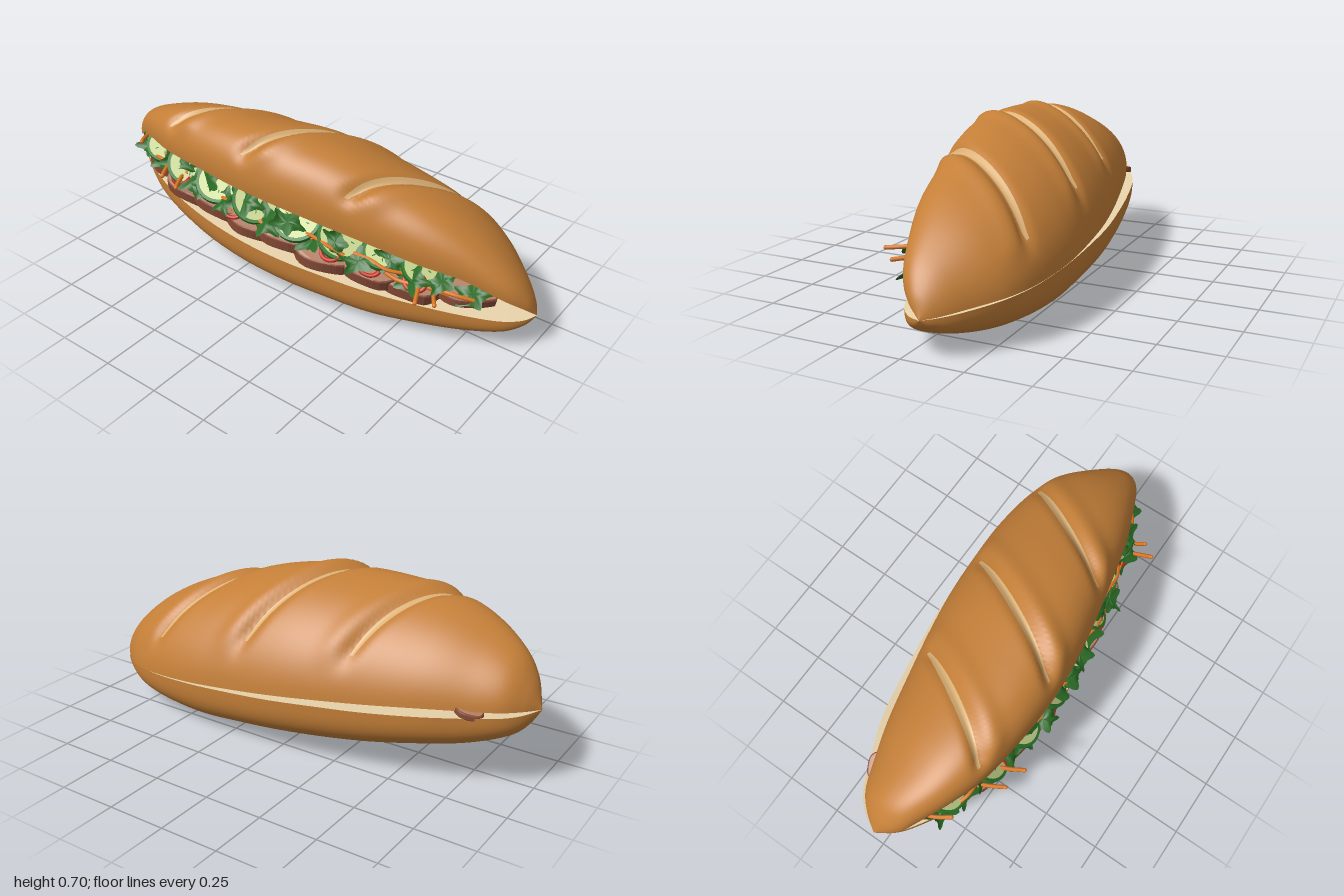
import * as THREE from 'three';

const mat = (name, color, side = THREE.FrontSide) => {
  const m = new THREE.MeshStandardMaterial({ color, side });
  m.name = name;
  return m;
};

// Bun stations: x, front rim z, front rim y, back rim z, back rim y, crown y (or underside y)
const TOP = [
  [-1, 0.006, 0.332, 0.004, 0.331, 0.334], [-0.95, 0.09, 0.38, -0.065, 0.336, 0.44], [-0.88, 0.14, 0.43, -0.125, 0.337, 0.52],
  [-0.75, 0.21, 0.475, -0.175, 0.33, 0.59], [-0.6, 0.265, 0.485, -0.225, 0.32, 0.64], [-0.4, 0.295, 0.487, -0.275, 0.3, 0.67],
  [-0.2, 0.305, 0.475, -0.32, 0.283, 0.68], [0, 0.29, 0.455, -0.355, 0.265, 0.682], [0.2, 0.255, 0.425, -0.373, 0.246, 0.652],
  [0.4, 0.21, 0.39, -0.38, 0.228, 0.592], [0.6, 0.16, 0.35, -0.36, 0.21, 0.525], [0.76, 0.1, 0.315, -0.31, 0.195, 0.44],
  [0.9, 0.04, 0.25, -0.2, 0.172, 0.33], [0.97, -0.02, 0.2, -0.13, 0.158, 0.24], [1, -0.079, 0.151, -0.081, 0.15, 0.153]];
const BOTTOM = [
  [-1, 0.006, 0.331, 0.004, 0.331, 0.329], [-0.95, 0.07, 0.315, -0.08, 0.325, 0.25], [-0.88, 0.12, 0.29, -0.14, 0.32, 0.2],
  [-0.75, 0.19, 0.275, -0.2, 0.31, 0.15], [-0.6, 0.24, 0.255, -0.26, 0.3, 0.115], [-0.4, 0.285, 0.24, -0.305, 0.28, 0.075],
  [-0.2, 0.3, 0.22, -0.34, 0.265, 0.045], [0, 0.29, 0.2, -0.365, 0.248, 0.025], [0.2, 0.26, 0.185, -0.37, 0.23, 0.01],
  [0.4, 0.22, 0.172, -0.365, 0.212, 0], [0.6, 0.16, 0.16, -0.34, 0.194, 0.015], [0.76, 0.1, 0.15, -0.29, 0.18, 0.035],
  [0.9, 0.04, 0.148, -0.2, 0.165, 0.07], [0.97, -0.02, 0.147, -0.13, 0.155, 0.11], [1, -0.079, 0.15, -0.081, 0.15, 0.148]];

// Diagonal slashes: middle x and sideways run
const SLASHES = [[-0.44, 0.17], [0, 0.19], [0.46, 0.185]];

function makeBun(rows, sign, power) {
  const curve = pick => new THREE.CatmullRomCurve3(rows.map(pick), false, 'catmullrom');
  const front = curve(r => new THREE.Vector3(r[0], r[2], r[1]));
  const back = curve(r => new THREE.Vector3(r[0], r[4], r[3]));
  const apex = curve(r => new THREE.Vector3(r[0], r[5], 0));
  const station = x => {
    let lo = 0, hi = 1;
    for (let i = 0; i < 26; i++) {
      const mid = (lo + hi) / 2;
      if (front.getPoint(mid).x < x) lo = mid; else hi = mid;
    }
    return { f: front.getPoint(lo), b: back.getPoint(lo), a: apex.getPoint(lo).y };
  };
  // c runs from 1 at the front rim to -1 at the back rim
  const crust = (x, c, lift = 1) => {
    const { f, b, a } = station(x);
    const cos = Math.pow(Math.abs(c), 1 / power);
    const s = Math.pow(Math.max(0, 1 - cos * cos), power / 2);
    const cy = (f.y + b.y) / 2, cz = (f.z + b.z) / 2, hy = (f.y - b.y) / 2, hz = (f.z - b.z) / 2;
    const H = Math.sqrt(Math.max(1e-6, (a - cy) ** 2 - hy * hy));
    let k = lift;
    if (sign > 0) for (const [m, run] of SLASHES) {
      const d = x - (m - run * c);
      const fade = 1 - THREE.MathUtils.smoothstep(Math.abs(c), 0.75, 0.97);
      k += fade * (0.04 * Math.exp(-(((d - 0.08) / 0.05) ** 2)) - 0.09 * Math.exp(-((d / 0.033) ** 2)));
    }
    const skew = sign > 0 ? 0.11 * H : 0;
    return [x, cy + (hy * c + sign * H * s) * k, cz + (hz * c + skew * s) * k];
  };
  const cut = (x, v, bow) => {
    const { f, b } = station(x);
    return [x, THREE.MathUtils.lerp(f.y, b.y, v) + bow * Math.sin(Math.PI * v) * (1 - x * x), THREE.MathUtils.lerp(f.z, b.z, v)];
  };
  return { station, crust, cut };
}

// Grid surface from a rule of two parameters in 0..1
function loft(rule, nu, nv, flip = false) {
  const pos = [], idx = [];
  for (let i = 0; i <= nu; i++) for (let j = 0; j <= nv; j++) pos.push(...rule(i / nu, j / nv));
  for (let i = 0; i < nu; i++) for (let j = 0; j < nv; j++) {
    const a = i * (nv + 1) + j, b = a + nv + 1;
    if (flip) idx.push(a, a + 1, b, b, a + 1, b + 1);
    else idx.push(a, b, a + 1, b, b + 1, a + 1);
  }
  const g = new THREE.BufferGeometry();
  g.setAttribute('position', new THREE.Float32BufferAttribute(pos, 3));
  g.setIndex(idx);
  g.computeVertexNormals();
  return g;
}

export function createModel() {
  const model = new THREE.Group();
  model.name = 'sandwich';
  const crust = mat('crust', 0xc47f38), slash = mat('slashCrumb', 0xdcb278), crumb = mat('crumb', 0xf0dab0);
  const meatFace = mat('meatFace', 0xb5836a), meatEdge = mat('meatEdge', 0x8a4d38);
  const rind = mat('cucumberRind', 0x2f7a2c), flesh = mat('cucumberFlesh', 0xc8d78f);
  const leaf = mat('leaf', 0x2a6a24, THREE.DoubleSide), chili = mat('chili', 0xcc2a18), carrot = mat('carrot', 0xe07a22);

  let seed = 7;
  const rnd = (a = 0, b = 1) => { seed = (seed * 16807) % 2147483647; return a + (b - a) * seed / 2147483647; };
  const add = (name, geo, material, parent = model) => {
    const m = new THREE.Mesh(geo, material);
    m.name = name;
    parent.add(m);
    return m;
  };

  // Bread
  const top = makeBun(TOP, 1, 0.93), bottom = makeBun(BOTTOM, -1, 0.68);
  const toX = u => Math.sin((u * 2 - 1) * Math.PI / 2) * 0.9999;
  const shell = (bun, p) => (u, v) => {
    const c = Math.cos(v * Math.PI);
    return bun.crust(toX(u), Math.sign(c) * Math.pow(Math.abs(c), p));
  };
  add('topCrust', loft(shell(top, 0.93), 220, 44), crust);
  add('bottomCrust', loft(shell(bottom, 0.68), 120, 48, true), crust);
  add('topCutFace', loft((u, v) => top.cut(toX(u), v, 0.04), 80, 10, true), crumb);
  add('bottomCutFace', loft((u, v) => bottom.cut(toX(u), v, 0.006), 80, 10), crumb);

  // Pale strips in the slashes
  for (const [m, run] of SLASHES) {
    add('slash', loft((u, v) => {
      const c = 0.86 - 1.7 * v;
      const w = 0.021 * Math.pow(Math.sin(Math.PI * (0.04 + 0.92 * v)), 0.5);
      return top.crust(m - run * c - 0.01 + (u * 2 - 1) * w, c, 1.018);
    }, 6, 40), slash);
  }

  // Spot on the open front: h from lower rim to upper lip, d inward
  const spot = (x, h, d) => {
    const lo = bottom.station(x).f, hi = top.station(x).f;
    return new THREE.Vector3(x, THREE.MathUtils.lerp(lo.y, hi.y, h), THREE.MathUtils.lerp(lo.z, hi.z, h) - d);
  };

  // Meat slices
  const meatSlice = (rx, rz, thick) => {
    const pts = [];
    for (let i = 0; i < 9; i++) {
      const a = i / 9 * Math.PI * 2, r = rnd(0.88, 1.1);
      pts.push(new THREE.Vector2(Math.cos(a) * rx * r, Math.sin(a) * rz * r));
    }
    const shape = new THREE.Shape(new THREE.SplineCurve([...pts, pts[0]]).getPoints(36));
    const g = new THREE.ExtrudeGeometry(shape, { depth: thick, bevelThickness: 0.006, bevelSize: 0.006, bevelSegments: 2, curveSegments: 1 });
    g.rotateX(-Math.PI / 2);
    const p = g.attributes.position;
    for (let i = 0; i < p.count; i++) p.setY(i, p.getY(i) - thick / 2 + 0.012 * Math.sin(p.getX(i) * 22));
    g.computeVertexNormals();
    return g;
  };
  for (let i = 0; i < 9; i++) {
    const x = -0.71 + i * 0.178, end = Math.abs(x) > 0.65 ? 0.88 : 1;
    const s = add('meatSlice', meatSlice(0.15 * end, 0.13 * end, x > 0.6 ? 0.03 : 0.045), [meatFace, meatEdge]);
    s.position.copy(spot(x, i % 2 ? 0.32 : 0.38, 0.115));
    s.rotation.set(rnd(0.12, 0.24), rnd(-0.2, 0.2), -0.2 + rnd(-0.05, 0.05));
  }
  const stray = add('meatSlice', meatSlice(0.055, 0.05, 0.015), [meatFace, meatEdge]);
  stray.position.set(-0.77, 0.322, -0.135);

  // Cucumber slices
  [-0.72, -0.52, -0.33, -0.13, 0.07, 0.26, 0.43, 0.58].forEach((x, i) => {
    const slice = new THREE.Group();
    slice.name = 'cucumberSlice';
    const r = x > 0.4 ? 0.077 : x < -0.7 ? 0.085 : 0.098;
    add('rind', new THREE.CylinderGeometry(r, r, 0.024, 28), rind, slice);
    add('flesh', new THREE.CylinderGeometry(r * 0.87, r * 0.87, 0.028, 28), flesh, slice);
    for (let k = 0; k < 6; k++) {
      const seedMesh = add('seed', new THREE.CylinderGeometry(0.006, 0.006, 0.03, 8), rind, slice);
      seedMesh.scale.set(1.4, 1, 0.4);
      seedMesh.rotation.y = -k * Math.PI / 3;
      seedMesh.position.set(Math.cos(k * Math.PI / 3) * r * 0.5, 0, Math.sin(k * Math.PI / 3) * r * 0.5);
    }
    slice.position.copy(spot(x, 0.74, 0.058));
    slice.rotation.set(0.45 + rnd(-0.1, 0.15), 0, (i % 2 ? -0.5 : -0.25) + rnd(-0.08, 0.08));
    model.add(slice);
  });

  // Carrot shreds
  for (let i = 0; i < 12; i++) {
    const x = -0.72 + i * 0.13, L = rnd(0.09, 0.14), h = rnd(0.5, 0.66);
    const pts = [-1, -0.4, 0.3, 1].map(k => spot(THREE.MathUtils.clamp(x + k * L, -0.86, 0.86), h + rnd(-0.06, 0.06), rnd(-0.01, 0.03)));
    add('carrotShred', new THREE.TubeGeometry(new THREE.CatmullRomCurve3(pts), 14, 0.008, 6), carrot);
  }
  // Shreds sticking out at the front
  for (const [x, out, h] of [[-0.6, 0.075, 0.66], [-0.5, 0.08, 0.62], [0.63, 0.13, 0.6], [0.68, 0.09, 0.5], [-0.82, 0.05, 0.95]]) {
    const a = spot(x - 0.06, h, 0.09), b = spot(x, h, -out * 0.4), c = spot(x + 0.03, h, -out);
    add('carrotShred', new THREE.TubeGeometry(new THREE.CatmullRomCurve3([a, b, c]), 10, 0.009, 6), carrot);
    add('carrotTip', new THREE.SphereGeometry(0.009, 8, 6), carrot).position.copy(c);
  }

  // Chili rings
  for (const x of [-0.53, -0.21, 0.25, 0.41, 0.59]) {
    const ring = add('chiliRing', new THREE.TorusGeometry(0.043, 0.01, 8, 22), chili);
    ring.position.copy(spot(x, 0.54, 0.004));
    ring.rotation.set(-0.95 + rnd(-0.25, 0.25), rnd(-0.3, 0.4), 0);
    ring.scale.y = 0.8;
  }

  // Herb leaves
  const leafGeometry = size => loft((u, v) => {
    const a = -u * Math.PI * 2, r = v * size * (1 + 0.24 * Math.cos(a * 5) + 0.1 * Math.cos(a * 10));
    return [Math.cos(a) * r * 1.3, 0.3 * size * Math.sin(Math.cos(a) * v * 3), Math.sin(a) * r];
  }, 40, 4);
  for (let i = 0; i < 16; i++) {
    const l = add('herbLeaf', leafGeometry(rnd(0.042, 0.058)), leaf);
    l.position.copy(spot(-0.78 + i * 0.105, i % 2 ? 0.62 : 0.78, rnd(-0.01, 0.025)));
    l.rotation.set(rnd(0.3, 0.95), rnd(-1, 1), rnd(-0.7, 0.2));
  }
  return model;
}
